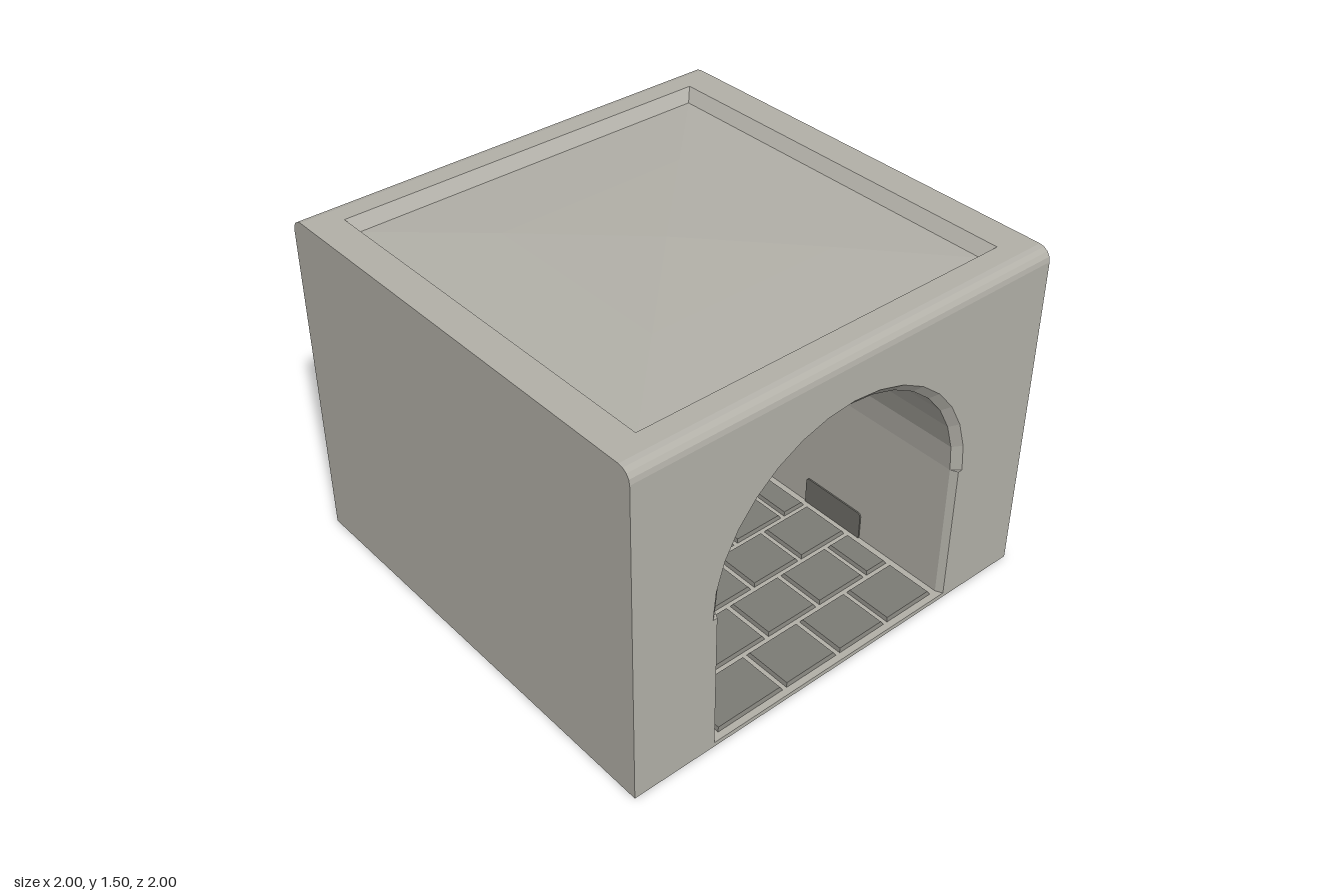
import * as THREE from 'three';
import { mergeGeometries } from 'three/addons/utils/BufferGeometryUtils.js';

const TOP = 1.5, ROUND = 0.055, FLOOR = 0.02, SPRING = 0.65;

// Faceted skin between successive rings of [x, y, z] points
function loft(rings, closed = true) {
  const pos = [];
  for (let r = 0; r < rings.length - 1; r++) {
    const a = rings[r], b = rings[r + 1], n = a.length;
    for (let i = 0; i < (closed ? n : n - 1); i++) {
      const j = (i + 1) % n;
      pos.push(...a[i], ...a[j], ...b[i], ...a[j], ...b[j], ...b[i]);
    }
  }
  const g = new THREE.BufferGeometry();
  g.setAttribute('position', new THREE.Float32BufferAttribute(pos, 3));
  g.computeVertexNormals();
  return g;
}

// Arched outline: straight jambs, then a half circle in 16 facets
function archRing(jamb, radius, z) {
  const pts = [[jamb, FLOOR, z], [jamb, SPRING, z]];
  for (let i = 0; i <= 16; i++) {
    const t = Math.PI * i / 16;
    pts.push([radius * Math.cos(t), SPRING + radius * Math.sin(t), z]);
  }
  pts.push([-jamb, SPRING, z], [-jamb, FLOOR, z]);
  return pts;
}

// Horizontal rectangle as a ring
const rectRing = (x0, x1, z0, z1, y) => [[x0, y, z1], [x1, y, z1], [x1, y, z0], [x0, y, z0]];
const squareRing = (s, y) => rectRing(-s, s, -s, s, y);

function rectPath(path, x, y0, y1) {
  path.moveTo(-x, y0);
  path.lineTo(x, y0);
  path.lineTo(x, y1);
  path.lineTo(-x, y1);
  path.closePath();
  return path;
}

export function createModel() {
  const root = new THREE.Group();
  const stone = new THREE.MeshStandardMaterial({ color: 0xb2b0a8 });
  stone.name = 'light stone';
  const paving = new THREE.MeshStandardMaterial({ color: 0x7c7b75 });
  paving.name = 'paving stone';
  const dark = new THREE.MeshStandardMaterial({ color: 0x706f69 });
  dark.name = 'dark stone';

  const add = (name, geometry, material, parent = root) => {
    const m = new THREE.Mesh(geometry, material);
    m.name = name;
    parent.add(m);
    return m;
  };

  // Quarter-round profile points from wall face to roof
  const curve = [];
  for (let i = 0; i <= 4; i++) {
    const t = Math.PI / 2 * i / 4;
    curve.push([1 - ROUND + ROUND * Math.cos(t), TOP - ROUND + ROUND * Math.sin(t)]);
  }

  // Front and back walls with arched opening, chamfer and rounded top edge
  const mouth = archRing(0.62, 0.64, 1);
  const wall = rectPath(new THREE.Shape(), 1, 0, TOP - ROUND);
  wall.holes.push(new THREE.Path(mouth.map(p => new THREE.Vector2(p[0], p[1]))));
  const wallGeo = new THREE.ShapeGeometry(wall).translate(0, 0, 1);
  const chamferGeo = loft([mouth, archRing(0.605, 0.605, 0.97)]);
  const edgeGeo = loft([1, -1].map(x => curve.map(([z, y]) => [x, y, z])), false);
  for (const [name, angle] of [['frontWall', 0], ['backWall', Math.PI]]) {
    const facade = new THREE.Group();
    facade.name = name;
    facade.rotation.y = angle;
    add('wallFace', wallGeo, stone, facade);
    add('archChamfer', chamferGeo, stone, facade);
    add('roundedEdge', edgeGeo, stone, facade);
    root.add(facade);
  }

  // Tunnel lining, including its floor
  add('tunnel', loft([archRing(0.605, 0.605, 0.97), archRing(0.605, 0.605, -0.97)]), stone);

  // Side walls
  const side = new THREE.Shape();
  side.moveTo(-1, 0);
  side.lineTo(1, 0);
  curve.forEach(([z, y]) => side.lineTo(z, y));
  [...curve].reverse().forEach(([z, y]) => side.lineTo(-z, y));
  side.closePath();
  for (const s of [1, -1]) {
    const m = add(s > 0 ? 'leftWall' : 'rightWall', new THREE.ShapeGeometry(side), stone);
    m.rotation.y = s * Math.PI / 2;
    m.position.x = s;
  }

  // Roof rim, sunken border and shallow hipped panel
  const rim = rectPath(new THREE.Shape(), 1, -1 + ROUND, 1 - ROUND);
  rim.holes.push(rectPath(new THREE.Path(), 0.86, -0.86, 0.86));
  add('roofRim', new THREE.ShapeGeometry(rim).rotateX(-Math.PI / 2).translate(0, TOP, 0), stone);
  add('roofRecess', loft([squareRing(0.86, TOP), squareRing(0.82, 1.45)]), stone);
  add('roofPanel', loft([squareRing(0.82, 1.45), squareRing(0.44, 1.47), squareRing(0, 1.485)]), stone);

  // Underside
  add('base', new THREE.PlaneGeometry(2, 2).rotateX(Math.PI / 2), stone);

  // Paving in staggered rows with bevelled slabs
  const cuts = [
    [-0.585, -0.235, 0.05, 0.315, 0.585],
    [-0.585, -0.4, -0.1, 0.18, 0.45, 0.585],
  ];
  const slabs = [];
  const rows = 8, pitch = 1.96 / rows, gap = 0.01, bevel = 0.008;
  for (let r = 0; r < rows; r++) {
    const z1 = 0.98 - r * pitch - gap, z0 = 0.98 - (r + 1) * pitch + gap;
    const c = cuts[r % 2];
    for (let i = 0; i < c.length - 1; i++) {
      const x0 = c[i] + gap, x1 = c[i + 1] - gap;
      const xm = (x0 + x1) / 2, zm = (z0 + z1) / 2;
      slabs.push(loft([
        rectRing(x0, x1, z0, z1, FLOOR),
        rectRing(x0 + bevel, x1 - bevel, z0 + bevel, z1 - bevel, 0.034),
        rectRing(xm, xm, zm, zm, 0.034),
      ]));
    }
  }
  add('pavingSlabs', mergeGeometries(slabs), paving);

  // Dark low panels on both tunnel walls
  const panel = new THREE.Shape();
  panel.moveTo(-0.16, 0);
  panel.lineTo(0.16, 0);
  panel.lineTo(0.16, 0.11);
  panel.quadraticCurveTo(0.16, 0.13, 0.14, 0.13);
  panel.lineTo(-0.14, 0.13);
  panel.quadraticCurveTo(-0.16, 0.13, -0.16, 0.11);
  panel.closePath();
  const panelGeo = new THREE.ExtrudeGeometry(panel, { depth: 0.006, bevelEnabled: false, curveSegments: 4 });
  for (const s of [1, -1]) {
    const m = add(s > 0 ? 'leftWallPanel' : 'rightWallPanel', panelGeo, dark);
    m.rotation.y = -s * Math.PI / 2;
    m.position.set(s * 0.605, FLOOR, 0.38);
  }
  return root;
}
